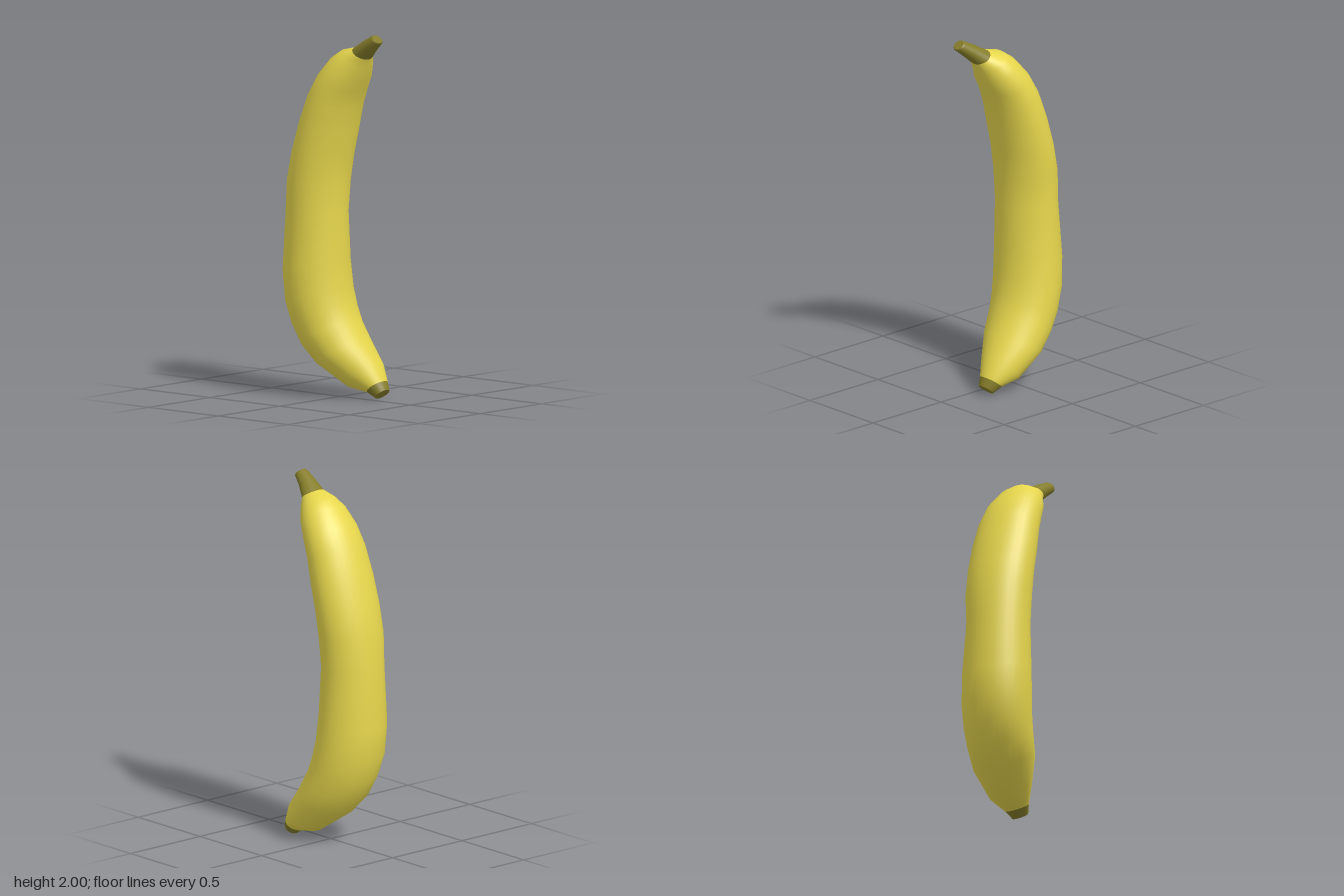
import * as THREE from 'three';

const SEG = 32;

// Each ring: [front z, front y, back z, back y, centre x, half width], from bottom to top
const BODY = [
  [0.245, 0.10, 0.155, 0.03, 0.07, 0.07],
  [0.20, 0.20, 0.04, 0.05, 0.06, 0.123],
  [0.13, 0.31, -0.13, 0.165, 0.028, 0.177],
  [0.075, 0.42, -0.22, 0.26, 0.01, 0.187],
  [0.05, 0.50, -0.28, 0.37, 0, 0.192],
  [0.03, 0.60, -0.32, 0.50, -0.011, 0.196],
  [0.02, 0.75, -0.335, 0.67, -0.019, 0.191],
  [0.015, 1.00, -0.315, 1.00, -0.024, 0.176],
  [0.02, 1.17, -0.30, 1.18, -0.021, 0.187],
  [0.04, 1.31, -0.265, 1.34, -0.018, 0.188],
  [0.075, 1.46, -0.215, 1.50, -0.016, 0.186],
  [0.105, 1.58, -0.155, 1.66, -0.015, 0.175],
  [0.14, 1.67, -0.09, 1.77, -0.015, 0.163],
  [0.18, 1.74, -0.01, 1.86, -0.018, 0.138],
  [0.205, 1.81, 0.05, 1.90, -0.02, 0.105],
  [0.228, 1.86, 0.14, 1.92, -0.033, 0.068],
];
const STEM = [
  BODY[BODY.length - 1],
  [0.285, 1.912, 0.215, 1.963, -0.05, 0.049],
  [0.334, 1.953, 0.281, 1.997, -0.06, 0.038],
  [0.337, 1.962, 0.292, 2.0, -0.06, 0.03],
];
const TIP = [
  [0.266, 0.055, 0.205, 0.002, 0.07, 0.046],
  BODY[0],
];

function ringPoints([fz, fy, bz, by, cx, rx]) {
  const points = [];
  for (let j = 0; j < SEG; j++) {
    const a = (j / SEG) * Math.PI * 2, s = Math.sin(a) / 2;
    points.push(cx + Math.cos(a) * rx, (fy + by) / 2 + s * (fy - by), (fz + bz) / 2 + s * (fz - bz));
  }
  return points;
}

// Skin through elliptical rings, with an optional flat lid at either end
function loft(name, rings, material, lidRing, lidOnTop) {
  const positions = rings.flatMap(ringPoints);
  const index = [];
  for (let i = 0; i < rings.length - 1; i++) {
    for (let j = 0; j < SEG; j++) {
      const k = (j + 1) % SEG;
      const a = i * SEG + j, b = i * SEG + k;
      index.push(a, a + SEG, b, b, a + SEG, b + SEG);
    }
  }
  if (lidRing) {
    const start = positions.length / 3;
    positions.push(...ringPoints(lidRing));
    const [fz, fy, bz, by, cx] = lidRing;
    positions.push(cx, (fy + by) / 2, (fz + bz) / 2);
    for (let j = 0; j < SEG; j++) {
      const a = start + j, b = start + (j + 1) % SEG;
      index.push(start + SEG, ...(lidOnTop ? [b, a] : [a, b]));
    }
  }
  const geometry = new THREE.BufferGeometry();
  geometry.setAttribute('position', new THREE.Float32BufferAttribute(positions, 3));
  geometry.setIndex(index);
  geometry.computeVertexNormals();
  const mesh = new THREE.Mesh(geometry, material);
  mesh.name = name;
  return mesh;
}

export function createModel() {
  const group = new THREE.Group();
  group.name = 'banana';
  const peel = new THREE.MeshStandardMaterial({ color: 0xe6d64c });
  const brown = new THREE.MeshStandardMaterial({ color: 0x857d2a });
  group.add(
    loft('peel', BODY, peel),
    loft('stem', STEM, brown, STEM[STEM.length - 1], true),
    loft('blossomEnd', TIP, brown, TIP[0], false),
  );
  return group;
}
